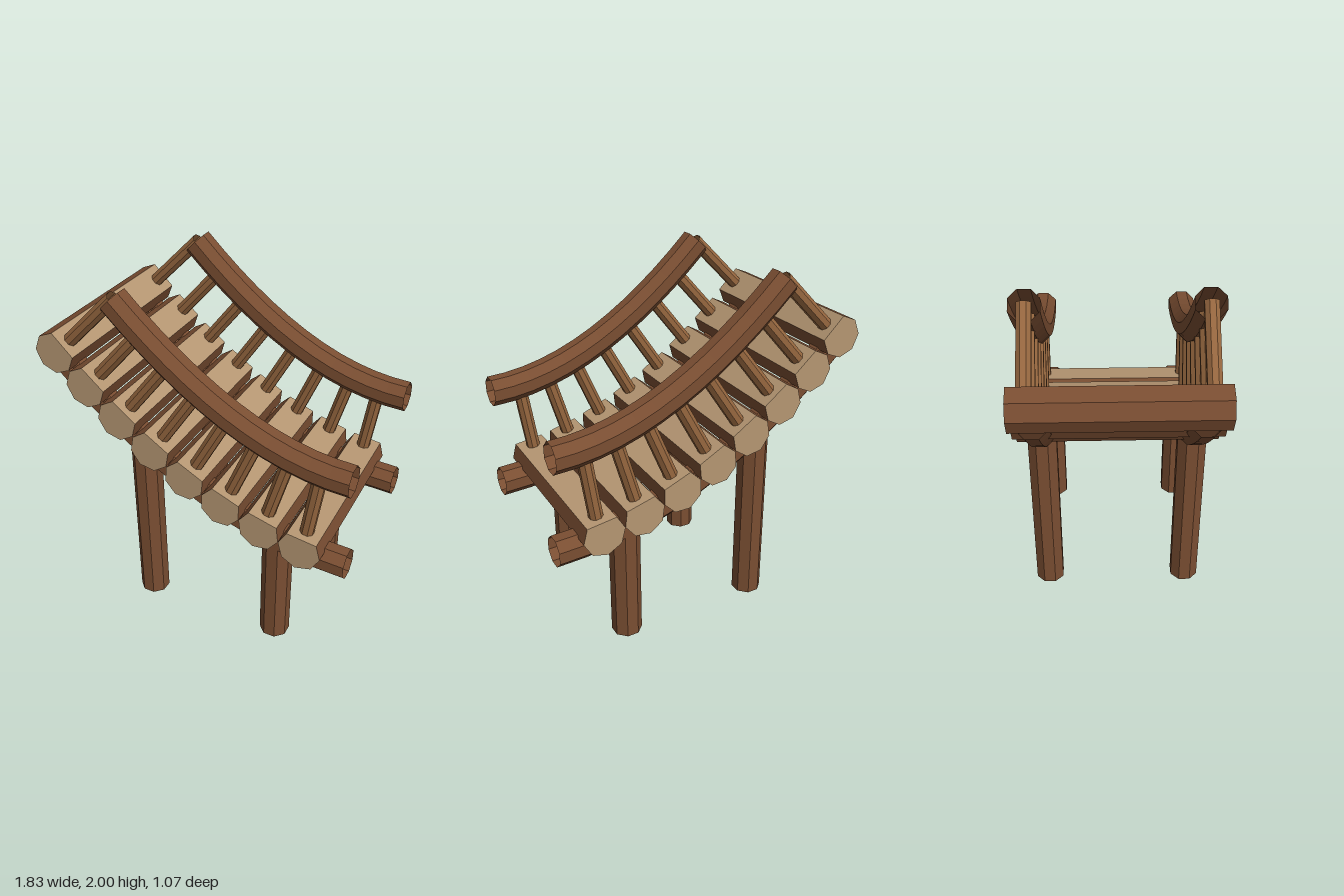
import * as THREE from 'three';
import { ParametricGeometry } from 'three/addons/geometries/ParametricGeometry.js';

const mat = (color) => new THREE.MeshStandardMaterial({ color, flatShading: true, side: THREE.DoubleSide });
const bark = mat(0x7a4e32);
const cutWood = mat(0xb59672);
const spindleWood = mat(0x96673f);

// Side profile of the sagging deck; everything is placed along it
const STEPS = 8;
const profile = new THREE.QuadraticBezierCurve(
  new THREE.Vector2(-0.85, 1.535),
  new THREE.Vector2(0.03, 0.665),
  new THREE.Vector2(0.91, 0.665)
);
const RAIL_OFFSET = 0.575;
const POLE_R = 0.0866;
const LOG_R = 0.121;
const LOG_LENGTH = 1.07;

function addMesh(parent, name, geometry, material, x = 0, y = 0, z = 0) {
  const mesh = new THREE.Mesh(geometry, material);
  mesh.name = name;
  mesh.position.set(x, y, z);
  parent.add(mesh);
  return mesh;
}

// Hollow eight-sided pole following the profile, shifted along its normal
function bentPole(offset, z) {
  const at = (u, v, target) => {
    const p = profile.getPointAt(u);
    const t = profile.getTangentAt(u);
    const a = (v + 1 / 16) * Math.PI * 2;
    const h = offset + POLE_R * Math.sin(a);
    target.set(p.x - t.y * h, p.y + t.x * h, z + POLE_R * Math.cos(a));
  };
  return new ParametricGeometry(at, 12, 8);
}

// Octagonal log with one corner sliced off to make a flat tread
function makeLog() {
  const log = new THREE.Group();
  log.name = 'log';
  const shell = new THREE.CylinderGeometry(LOG_R, LOG_R, LOG_LENGTH, 6, 1, true, Math.PI * 1.25, Math.PI * 1.5);
  shell.rotateX(Math.PI / 2);
  addMesh(log, 'logBark', shell, bark);

  const tread = new THREE.PlaneGeometry(LOG_R * Math.SQRT2, LOG_LENGTH).rotateX(-Math.PI / 2);
  addMesh(log, 'logTread', tread, cutWood, 0, LOG_R * Math.SQRT1_2, 0);

  const corners = [];
  for (let i = 0; i < 7; i++) {
    const a = Math.PI * (0.75 + i / 4);
    corners.push(new THREE.Vector2(LOG_R * Math.cos(a), LOG_R * Math.sin(a)));
  }
  const end = new THREE.ShapeGeometry(new THREE.Shape(corners));
  addMesh(log, 'logEnd', end, cutWood, 0, 0, LOG_LENGTH / 2);
  addMesh(log, 'logEnd', end, cutWood, 0, 0, -LOG_LENGTH / 2).rotation.y = Math.PI;
  return log;
}

export function createModel() {
  const model = new THREE.Group();
  model.name = 'logBridgeSection';

  // Stations: a log with a spindle on each side, square to the profile
  const bottom = 0.1;
  const top = RAIL_OFFSET + 0.01;
  const spindle = new THREE.CylinderGeometry(0.04, 0.04, top - bottom, 8, 1, true).rotateY(Math.PI / 8);
  for (let i = 0; i < STEPS; i++) {
    const p = profile.getPointAt(i / STEPS);
    const t = profile.getTangentAt(i / STEPS);
    const station = new THREE.Group();
    station.name = 'station';
    station.position.set(p.x, p.y, 0);
    station.rotation.z = Math.atan2(t.y, t.x);
    const log = makeLog();
    log.position.y = 0.07;
    station.add(log);
    for (const side of [-1, 1]) {
      addMesh(station, 'spindle', spindle, spindleWood, 0, (top + bottom) / 2, side * 0.455);
    }
    model.add(station);
  }

  // Beams, handrails and legs on both sides
  for (const side of [-1, 1]) {
    addMesh(model, 'beam', bentPole(0, side * 0.415), bark);
    addMesh(model, 'handrail', bentPole(RAIL_OFFSET, side * 0.455), bark);
    for (const [x, height] of [[-0.323, 1.08], [0.5, 0.7]]) {
      const leg = new THREE.CylinderGeometry(POLE_R, POLE_R, height, 8, 1, true).rotateY(Math.PI / 8);
      addMesh(model, 'leg', leg, bark, x, height / 2, side * 0.415);
    }
  }
  return model;
}
